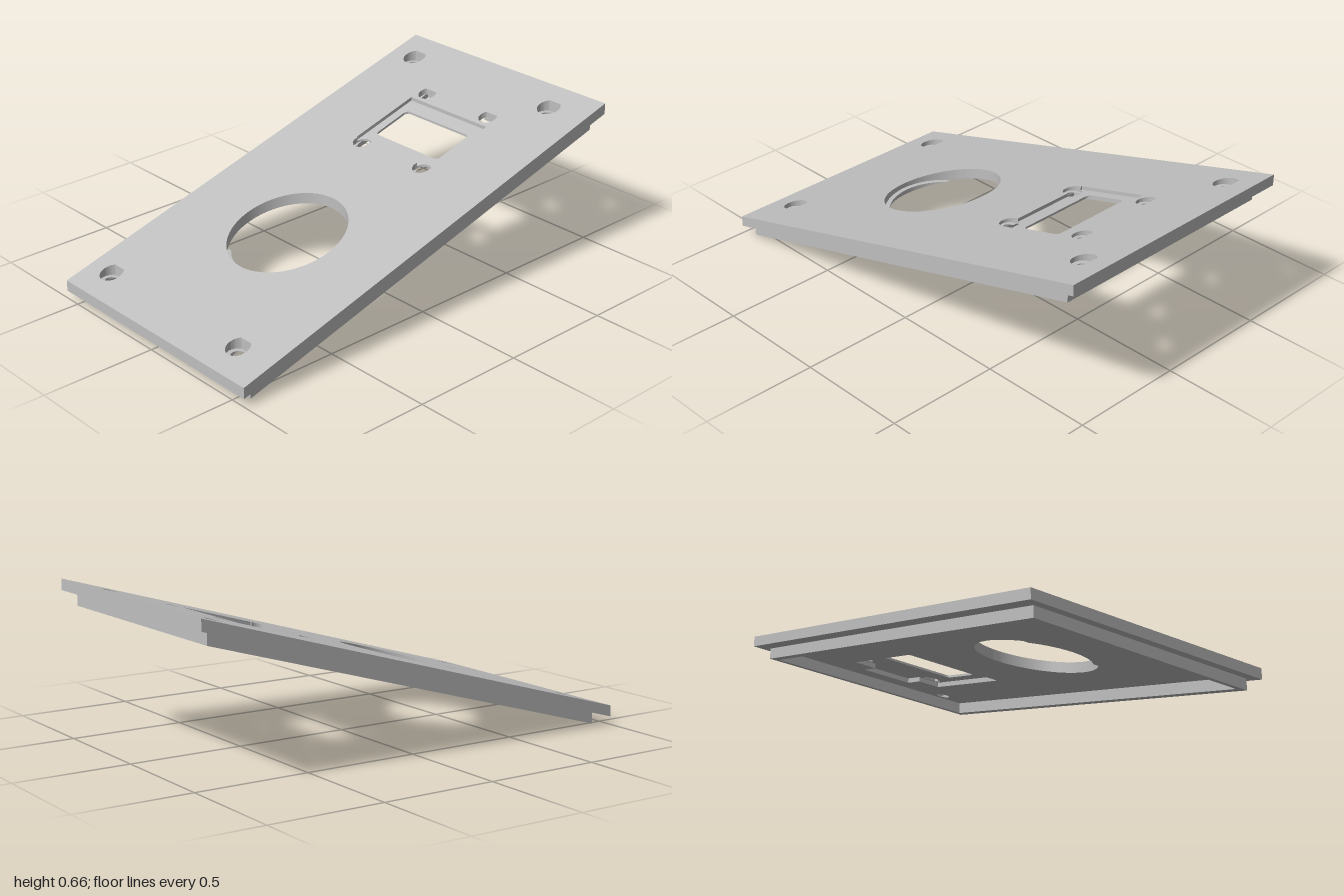
import * as THREE from 'three';
import { toCreasedNormals } from 'three/addons/utils/BufferGeometryUtils.js';

const SLOPE = 0.2885, TOP = 0.372, THICK = 0.048;
const surface = (z) => TOP - SLOPE * z;

// Outlines are drawn in plan with (x, -z).
const poly = (pts) => new THREE.Shape(pts.map(([x, z]) => new THREE.Vector2(x, -z)));
const rect = (x0, x1, z0, z1) => poly([[x0, z1], [x1, z1], [x1, z0], [x0, z0]]);

function roundRect(x0, x1, z0, z1, r) {
  const s = new THREE.Shape();
  s.absarc(x1 - r, -z0 - r, r, 0, Math.PI / 2);
  s.absarc(x0 + r, -z0 - r, r, Math.PI / 2, Math.PI);
  s.absarc(x0 + r, -z1 + r, r, Math.PI, Math.PI * 1.5);
  s.absarc(x1 - r, -z1 + r, r, Math.PI * 1.5, Math.PI * 2);
  return s;
}

// Circle whose back is cut flat at distance d behind its centre.
function flatCircle(x, z, r, d = r) {
  const a = Math.asin(d / r), s = new THREE.Shape();
  s.absarc(x, -z, r, Math.PI - a, Math.PI * 2 + a);
  return s;
}

// Part of a ring lying in front of the cut line.
function ledgeShape(x, z, R, r, d) {
  const s = flatCircle(x, z, R, d);
  if (d > r) s.holes.push(flatCircle(x, z, r));
  else {
    const b = Math.asin(d / r);
    s.absarc(x, -z, r, Math.PI * 2 + b, Math.PI - b, true);
  }
  return s;
}

// Extrude upright and shear along the slope; flatTop keeps the upper face level.
function slab(shape, from, to, flatTop) {
  const g = new THREE.ExtrudeGeometry(shape, { depth: to - from, bevelEnabled: false, curveSegments: 40 });
  g.rotateX(-Math.PI / 2);
  const p = g.attributes.position, mid = (to - from) / 2;
  for (let i = 0; i < p.count; i++) {
    const upper = p.getY(i) > mid, base = surface(p.getZ(i));
    p.setY(i, upper ? (flatTop ?? base - from) : base - to);
  }
  return toCreasedNormals(g, 0.6);
}

export function createModel() {
  const group = new THREE.Group();
  group.name = 'slopedPanel';
  const grey = new THREE.MeshStandardMaterial({ color: 0xbfbfbf });
  grey.name = 'grey';
  const add = (name, geometry) => {
    const m = new THREE.Mesh(geometry, grey);
    m.name = name;
    group.add(m);
  };

  const corners = [];
  for (const x of [-0.44, 0.375]) for (const z of [-0.865, 0.865]) corners.push([x, z]);
  const smallX = [-0.175, 0.19], backZ = -0.685, frontZ = -0.29;
  const commonHoles = () => [flatCircle(0.01, 0.3, 0.25), ...corners.map(([x, z]) => flatCircle(x, z, 0.05, 0.04))];
  const backScrews = () => smallX.map((x) => flatCircle(x, backZ, 0.04, 0.025));
  const layer = (name, from, to, holes) => {
    const s = rect(-0.57, 0.57, -1, 1);
    s.holes.push(...commonHoles(), ...holes);
    add(name, slab(s, from, to));
  };

  // Top layer: display recess with two screw bulges on its front edge
  const recess = new THREE.Shape();
  recess.moveTo(0.235, 0.63);
  recess.lineTo(-0.22, 0.63);
  recess.lineTo(-0.22, 0.3);
  const a = Math.asin(0.01 / 0.04);
  for (const x of smallX) recess.absarc(x, -frontZ, 0.04, Math.PI - a, Math.PI * 2 + a);
  recess.lineTo(0.235, 0.3);
  layer('topLayer', 0, 0.016, [recess, ...backScrews()]);

  // Middle layer: thin frame around the window
  layer('windowLayer', 0.016, 0.026, [
    roundRect(-0.18, 0.195, -0.565, -0.375, 0.02),
    ...backScrews(), ...smallX.map((x) => flatCircle(x, frontZ, 0.04)),
  ]);

  // Bottom layer: stepped pocket behind the display
  layer('bottomLayer', 0.026, THICK, [poly([
    [-0.205, -0.27], [0.245, -0.27], [0.245, -0.72], [0.14, -0.72],
    [0.14, -0.81], [-0.1, -0.81], [-0.1, -0.72], [-0.205, -0.72],
  ])]);

  // Level ledges inside the bores
  const ledge = (name, x, z, R, r, d, depth) =>
    add(name, slab(ledgeShape(x, z, R, r, d), 0, depth, surface(z - d) - depth));
  ledge('roundOpeningLedge', 0.01, 0.3, 0.25, 0.23, -0.16, THICK);
  for (const [x, z] of corners) ledge('cornerScrewLedge', x, z, 0.05, 0.03, 0.04, THICK);
  for (const x of smallX) {
    ledge('backScrewLedge', x, backZ, 0.04, 0.025, -0.005, 0.026);
    ledge('frontScrewLedge', x, frontZ, 0.04, 0.025, 0, 0.026);
  }

  // Rim underneath
  const rim = rect(-0.515, 0.54, -0.945, 0.945);
  rim.holes.push(rect(-0.485, 0.51, -0.915, 0.915));
  add('undersideRim', slab(rim, THICK, 0.0985));

  return group;
}
